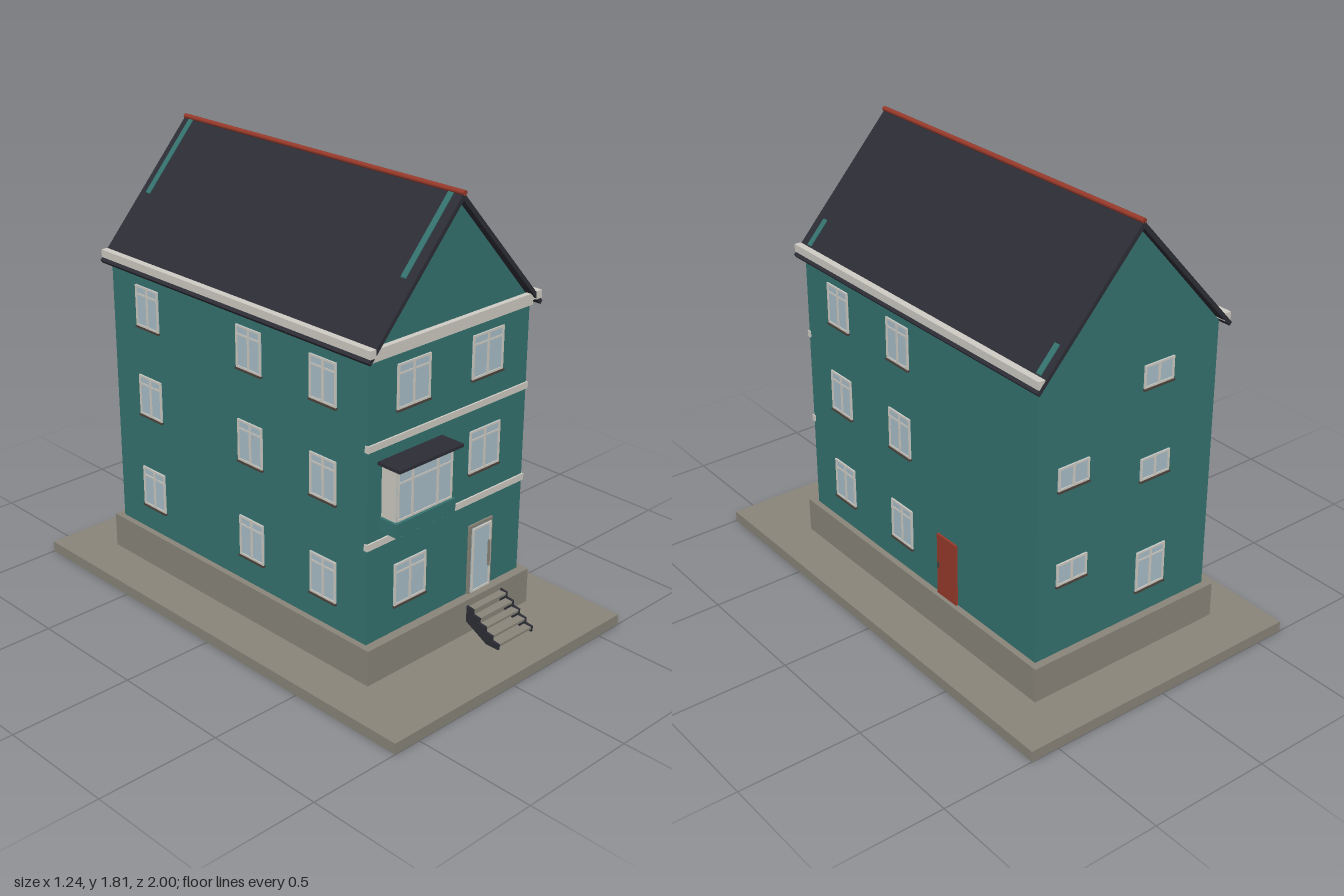
import * as THREE from 'three';

const mat = (name, color) => {
  const m = new THREE.MeshStandardMaterial({ color });
  m.name = name;
  return m;
};

export function createModel() {
  const house = new THREE.Group();
  house.name = 'house';
  const teal = mat('tealPlaster', 0x35736f);
  const slate = mat('darkSlate', 0x2d2d36);
  const stone = mat('stone', 0x89857a);
  const cream = mat('creamTrim', 0xcfccc4);
  const glass = mat('glass', 0xa9bfca);
  const red = mat('brickRed', 0x983a2b);
  const brown = mat('darkSill', 0x4b413a);

  // Box given by its two extents on every axis
  function box(name, m, x0, x1, y0, y1, z0, z1, parent = house) {
    const mesh = new THREE.Mesh(new THREE.BoxGeometry(x1 - x0, y1 - y0, z1 - z0), m);
    mesh.position.set((x0 + x1) / 2, (y0 + y1) / 2, (z0 + z1) / 2);
    mesh.name = name;
    parent.add(mesh);
    return mesh;
  }
  // Outline in x/y pushed from z0 to z1
  function prism(name, m, points, z0, z1) {
    const shape = new THREE.Shape(points.map(p => new THREE.Vector2(...p)));
    const geo = new THREE.ExtrudeGeometry(shape, { depth: z1 - z0, bevelEnabled: false });
    const mesh = new THREE.Mesh(geo, m);
    mesh.position.z = z0;
    mesh.name = name;
    house.add(mesh);
    return mesh;
  }

  // Ground slab, plinth and walls with gables
  box('groundSlab', stone, -0.62, 0.62, 0, 0.045, -1, 1);
  box('plinth', stone, -0.44, 0.44, 0.045, 0.19, -0.797, 0.687);
  prism('walls', teal, [[-0.415, 0.19], [0.415, 0.19], [0.415, 1.306], [0, 1.772], [-0.415, 1.306]], -0.765, 0.65);

  // Roof shell and ridge
  prism('roof', slate, [[0, 1.797], [-0.448, 1.3], [-0.438, 1.288], [0, 1.77], [0.438, 1.288], [0.448, 1.3]], -0.797, 0.682);
  const ridge = new THREE.Mesh(new THREE.CylinderGeometry(0.01, 0.01, 1.484, 12), red);
  ridge.rotation.x = Math.PI / 2;
  ridge.position.set(0, 1.797, -0.055);
  ridge.name = 'ridge';
  house.add(ridge);

  // Gable strips showing through the roof
  const roofY = x => 1.797 - Math.abs(x) * 1.109;
  for (const z of [0.617, -0.767]) {
    for (const [a, b] of [[-0.235, -0.008], [0.33, 0.408]]) {
      prism('gableStrip', teal, [[a, roofY(a) - 0.01], [b, roofY(b) - 0.01], [b, roofY(b) + 0.004], [a, roofY(a) + 0.004]], z, z + 0.025);
    }
  }

  // Gutters, cornice and floor bands
  for (const s of [-1, 1]) {
    const x = s * 0.427;
    box('gutter', cream, x - 0.014, x + 0.014, 1.312, 1.343, -0.796, 0.684);
  }
  box('corniceTop', cream, -0.435, 0.435, 1.308, 1.335, 0.65, 0.672);
  box('corniceBottom', cream, -0.42, 0.42, 1.285, 1.308, 0.65, 0.662);
  for (const y of [0.573, 0.952]) box('floorBand', cream, -0.42, 0.42, y, y + 0.026, 0.64, 0.657);

  // Group lying on one wall; its local z points out of that wall
  const walls = {
    front: [0, 0, 0.65, 0], back: [0, 0, -0.765, Math.PI],
    left: [0.415, 0, 0, Math.PI / 2], right: [-0.415, 0, 0, -Math.PI / 2],
  };
  function onWall(name, wall) {
    const g = new THREE.Group();
    const [x, y, z, turn] = walls[wall];
    g.position.set(x, y, z);
    g.rotation.y = turn;
    g.name = name;
    house.add(g);
    return g;
  }
  // Pane with border, uprights and a transom
  function glazing(g, x, y, w, h, z, uprights, transom) {
    const x0 = x - w / 2, x1 = x + w / 2, t = 0.008;
    box('pane', glass, x0, x1, y, y + h, z - 0.002, z + 0.002, g);
    for (const a of [x0, x1 - t]) box('frameSide', cream, a, a + t, y, y + h, z, z + 0.006, g);
    for (const b of [y, y + h - t]) box('frameRail', cream, x0, x1, b, b + t, z, z + 0.0055, g);
    for (const u of uprights) box('mullion', cream, x + u * w - 0.005, x + u * w + 0.005, y, y + h, z, z + 0.005, g);
    if (transom) box('transom', cream, x0, x1, y + h * transom, y + h * transom + 0.007, z, z + 0.0045, g);
  }
  function windowOn(wall, x, y, w, h, transom = 0.76) {
    const g = onWall('window', wall);
    glazing(g, x, y, w, h, 0.001, [0], transom);
    box('sill', brown, x - w / 2 - 0.003, x + w / 2 + 0.003, y - 0.007, y, 0, 0.011, g);
  }

  // Windows on every side
  const rows = [0.298, 0.698, 1.073];
  for (const y of rows) {
    for (const z of [0.43, 0.04]) windowOn('left', -z, y, 0.135, 0.168);
    for (const z of [0.43, 0.04, -0.55]) windowOn('right', z, y, 0.135, 0.168);
  }
  for (const [x, y] of [[-0.195, 0.298], [-0.195, 1.073], [0.19, 0.698], [0.19, 1.073]]) windowOn('front', x, y, 0.165, 0.17);
  windowOn('back', 0.13, 0.298, 0.14, 0.168);
  for (const [x, y] of [[0.13, 0.772], [0.13, 1.145], [-0.255, 0.482], [-0.255, 0.872]]) windowOn('back', x, y, 0.14, 0.09, 0);

  // Bay window
  box('bayBase', teal, -0.355, -0.05, 0.632, 0.685, 0.645, 0.733);
  box('bayBody', cream, -0.345, -0.055, 0.685, 0.892, 0.645, 0.718);
  box('bayRoof', slate, -0.366, -0.04, 0.892, 0.904, 0.645, 0.756);
  glazing(onWall('bayGlazing', 'front'), -0.2, 0.687, 0.28, 0.203, 0.069, [-0.23, 0.23], 0.7);

  // Front door with handle
  const door = onWall('frontDoor', 'front');
  box('doorSurround', stone, 0.12, 0.25, 0.19, 0.478, 0, 0.008, door);
  glazing(door, 0.185, 0.195, 0.104, 0.27, 0.01, [], 0);
  box('doorHandle', stone, 0.222, 0.227, 0.28, 0.39, 0.012, 0.022, door);

  // Side door
  const side = onWall('sideDoor', 'left');
  box('doorLeaf', red, 0.192, 0.308, 0.19, 0.455, 0, 0.009, side);
  box('doorKnob', brown, 0.2, 0.206, 0.31, 0.335, 0.009, 0.016, side);

  // Entrance steps between saw-toothed stringers
  const n = 5, outline = [[0.687, 0.1], [0.79, 0.045], [0.85, 0.045]];
  for (let i = 0; i < n; i++) {
    const z1 = 0.85 - i * 0.0326, y = 0.068 + i * 0.0235;
    outline.push([z1, y], [z1 - 0.0326, y + 0.004]);
    box('tread', stone, 0.094, 0.276, y - 0.012, y - 0.002, z1 - 0.036, z1 - 0.001);
  }
  for (const x of [0.085, 0.276]) {
    const stringer = prism('stringer', slate, outline.map(([z, y]) => [-z, y]).reverse(), 0, 0.009);
    stringer.rotation.y = Math.PI / 2;
    stringer.position.set(x, 0, 0);
  }
  return house;
}
